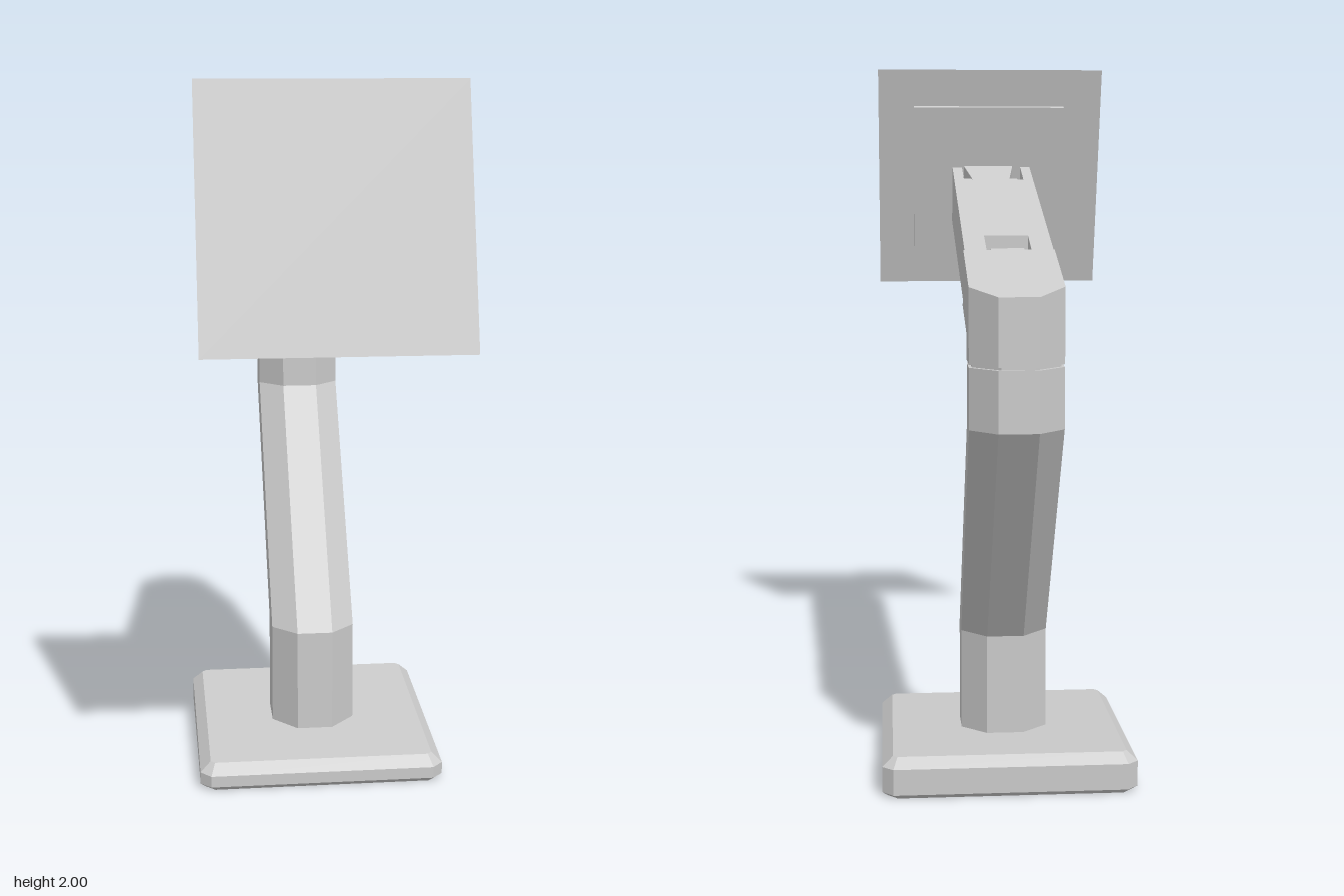
import * as THREE from 'three';

const material = new THREE.MeshStandardMaterial({ color: 0xcccccc, flatShading: true });
const sheetMaterial = new THREE.MeshStandardMaterial({ color: 0xcccccc, side: THREE.DoubleSide });

function add(parent, name, geometry, mat = material) {
  const mesh = new THREE.Mesh(geometry, mat);
  mesh.name = name;
  parent.add(mesh);
  return mesh;
}

// Rectangle with cut corners, seen in plan: half sizes w and d, cut c, centred on z = cz
function plan(w, d, c, cz, height) {
  const corners = [[w - c, d], [w, d - c], [w, c - d], [w - c, -d], [c - w, -d], [-w, c - d], [-w, d - c], [c - w, d]];
  return corners.map(([x, z]) => [x, typeof height === 'function' ? height(z + cz) : height, z + cz]);
}

// Closed solid through rings stacked from bottom to top
function loft(rings) {
  const p = [];
  const n = rings[0].length;
  for (let k = 0; k + 1 < rings.length; k++) {
    for (let i = 0; i < n; i++) {
      const j = (i + 1) % n;
      const a = rings[k][i], b = rings[k][j], c = rings[k + 1][j], d = rings[k + 1][i];
      p.push(...a, ...b, ...c, ...a, ...c, ...d);
    }
  }
  const bottom = rings[0], top = rings[rings.length - 1];
  for (let i = 1; i + 1 < n; i++) {
    p.push(...bottom[0], ...bottom[i + 1], ...bottom[i], ...top[0], ...top[i], ...top[i + 1]);
  }
  const g = new THREE.BufferGeometry();
  g.setAttribute('position', new THREE.Float32BufferAttribute(p, 3));
  g.computeVertexNormals();
  return g;
}

// Side profile (z, y) extruded across x from x0 to x1
function slab(x0, x1, shape) {
  const g = new THREE.ExtrudeGeometry(shape, { depth: x1 - x0, bevelEnabled: false, curveSegments: 8 });
  return g.rotateY(-Math.PI / 2).translate(x1, 0, 0);
}

const poly = (pts) => new THREE.Shape(pts.map(([z, y]) => new THREE.Vector2(z, y)));

// Sloping top and underside of the raised arm
const armTop = (z) => 1.70 + 0.2905 * (z - 0.40);
const armBottom = (z) => 1.535 + 0.271 * (z - 0.45);

export function createModel() {
  const model = new THREE.Group();
  model.name = 'monitorArm';

  // Wedge-shaped foot with a chamfered top edge
  const cz = -0.0875;
  const rim = (z) => 0.045 + (0.265 - z) * 0.057;
  const deck = (z) => 0.074 + (0.24 - z) * 0.057;
  add(model, 'base', loft([
    plan(0.34, 0.343, 0.03, cz, 0),
    plan(0.352, 0.353, 0.03, cz, 0.012),
    plan(0.352, 0.353, 0.03, cz, rim),
    plan(0.322, 0.323, 0.012, cz, deck),
  ]));

  // Octagonal column, leaning back between two upright ends
  const octagon = (z, y, s = 0.122) => plan(s, s, 0.07, z, y);
  add(model, 'column', loft([
    octagon(-0.085, 0.06), octagon(-0.085, 0.385), octagon(-0.553, 1.045), octagon(-0.553, 1.205),
  ]));
  add(model, 'swivelSeam', loft([octagon(-0.553, 1.2, 0.114), octagon(-0.553, 1.22, 0.114)]));

  // Elbow: octagonal socket and the stub that receives the arm
  add(model, 'elbowSocket', loft([octagon(-0.553, 1.212), octagon(-0.553, 1.25), octagon(-0.553, armTop)]));
  const stub = new THREE.Shape();
  stub.moveTo(-0.553, armBottom(-0.553));
  stub.lineTo(-0.285, armBottom(-0.285));
  stub.quadraticCurveTo(-0.41, 1.40, -0.335, armTop(-0.335));
  stub.lineTo(-0.553, armTop(-0.553));
  add(model, 'elbowStub', slab(-0.122, 0.122, stub));

  // Rounded tongue filling the slot at the back of the arm
  const tongue = new THREE.Shape();
  tongue.moveTo(-0.42, armBottom(-0.42) + 0.01);
  tongue.lineTo(-0.24, armBottom(-0.24) + 0.01);
  tongue.quadraticCurveTo(-0.215, 1.46, -0.28, armTop(-0.28) - 0.015);
  tongue.lineTo(-0.42, armTop(-0.42) - 0.005);
  add(model, 'elbowTongue', slab(-0.045, 0.045, tongue));

  // Arm in lengthwise strips: slot at the back, fork at the front
  const arm = new THREE.Group();
  arm.name = 'arm';
  model.add(arm);
  const strip = (back, frontInset) => {
    const t = 0.405 - frontInset, b = 0.453 - frontInset;
    return poly([[back, armBottom(back)], [b, armBottom(b)], [t, armTop(t)], [back, armTop(back)]]);
  };
  add(arm, 'armCentre', slab(-0.06, 0.06, strip(-0.222, 0.125)));
  for (const side of [-1, 1]) {
    const span = (a, b) => (side > 0 ? [a, b] : [-b, -a]);
    add(arm, 'armInnerSide', slab(...span(0.06, 0.09), strip(-0.40, 0.125)));
    add(arm, 'armForkSide', slab(...span(0.09, 0.119), strip(-0.40, 0)));
  }

  // Head, aligned with the arm
  const head = new THREE.Group();
  head.name = 'head';
  head.position.set(0, 1.62, 0.425);
  head.rotation.x = -0.283;
  model.add(head);

  add(head, 'tiltBarrel', new THREE.CylinderGeometry(0.06, 0.06, 0.18, 20).rotateZ(Math.PI / 2).translate(0, 0, -0.065));
  add(head, 'tiltBlock', new THREE.BoxGeometry(0.165, 0.09, 0.075).translate(0, 0, -0.027));

  // Neck flares out towards the mounting plate
  const section = (w, z) => [[-w, -0.047, z], [w, -0.047, z], [w, 0.047, z], [-w, 0.047, z]];
  add(head, 'neck', loft([section(0.055, -0.03), section(0.06, 0.02), section(0.078, 0.15)]));

  add(head, 'mountingPlate', new THREE.BoxGeometry(0.47, 0.47, 0.016).translate(0, 0, 0.152));
  add(head, 'screen', new THREE.PlaneGeometry(0.698, 0.698).translate(-0.004, 0, 0.164), sheetMaterial);

  return model;
}
